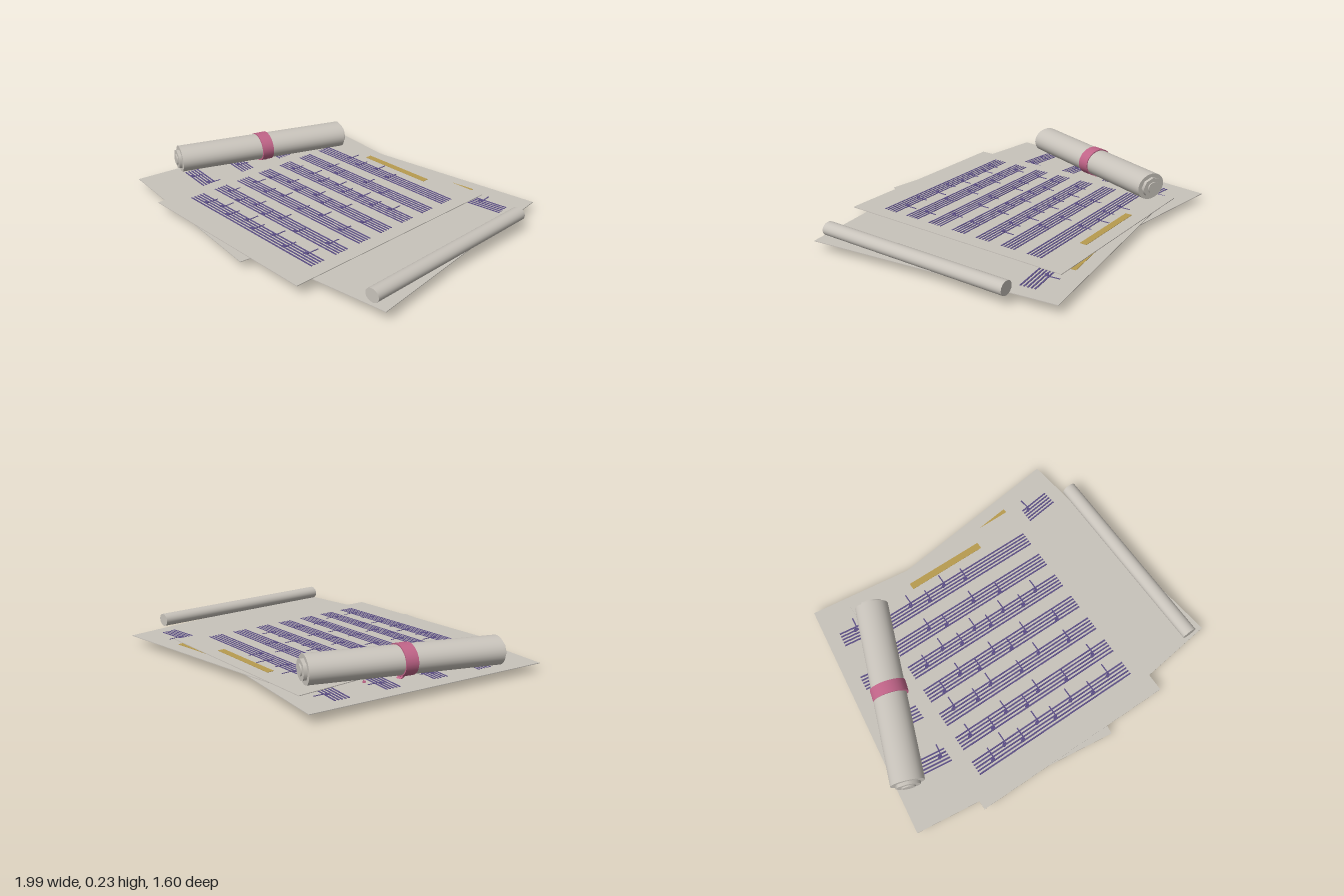
import * as THREE from 'three';
import { mergeGeometries } from 'three/addons/utils/BufferGeometryUtils.js';

const mat = (name, color) => {
  const m = new THREE.MeshStandardMaterial({ color });
  m.name = name;
  return m;
};

export function createModel() {
  const paper = mat('paper', 0xc8c3bb);
  const ink = mat('purple ink', 0x5c4f85);
  const gold = mat('gold', 0xb89b4f);
  const pink = mat('pink ribbon', 0xc06488);
  const model = new THREE.Group();
  model.name = 'sheetMusic';

  const add = (parent, name, geometry, material) => {
    const m = new THREE.Mesh(geometry, material);
    m.name = name;
    parent.add(m);
    return m;
  };
  // thin plate lying on a sheet
  const plate = (w, d, x, z) => new THREE.BoxGeometry(w, 0.002, d).translate(x, 0.003, z);

  // one loose page: paper, title bar and staves; each row is [z, note positions along x]
  function sheet(name, x, y, z, turn, rows) {
    const g = new THREE.Group();
    g.name = name;
    g.position.set(x, y, z);
    g.rotation.y = turn;
    model.add(g);
    add(g, 'page', new THREE.BoxGeometry(1.194, 0.004, 1.42), paper);
    add(g, 'titleBar', plate(0.48, 0.04, 0.01, -0.615), gold);
    const marks = [];
    rows.forEach(([rz, notes], r) => {
      for (let i = -2; i <= 2; i++) marks.push(plate(1.03, 0.009, 0, rz + i * 0.0195));
      notes.forEach((nx, i) => {
        const nz = rz - 0.03 + ((i * 2 + r) % 4) * 0.018;
        marks.push(plate(0.007, 0.075, nx, nz - 0.03));
        const head = new THREE.CylinderGeometry(0.014, 0.014, 0.003, 10);
        head.scale(1, 1, 0.75).rotateY(0.4).translate(nx - 0.011, 0.0035, nz + 0.008);
        marks.push(head);
      });
    });
    add(g, 'staves', mergeGeometries(marks), ink);
  }

  const notes = [
    [-0.29, -0.18, -0.06, 0.07],
    [-0.28, -0.18, 0.03, 0.19],
    [-0.41, -0.28, -0.17, -0.06, 0.03, 0.14, 0.26, 0.37],
    [-0.41, -0.28, -0.17, -0.05, 0.05, 0.17, 0.37],
    [-0.42, -0.28, -0.17, 0.02, 0.16, 0.35],
    [-0.43, -0.3, -0.19, -0.07, 0.03, 0.2, 0.41],
    [-0.4, -0.3, -0.2, -0.08, 0.02, 0.15, 0.28, 0.41],
  ];
  sheet('bottomSheet', -0.305, 0.05, 0.015, -0.14,
    [-0.48, -0.185, 0.11, 0.4].map((z, i) => [z, notes[i + 2]]));
  sheet('middleSheet', 0.326, 0.056, -0.03, 0.112, [[-0.51, notes[3]]]);
  sheet('topSheet', -0.02, 0.063, 0.04, -0.017, notes.map((n, i) => [-0.49 + i * 0.165, n]));

  // slightly flattened roll lying along z
  const roll = (rx, ry, length, sides) =>
    new THREE.CylinderGeometry(1, 1, length, sides).rotateX(Math.PI / 2).scale(rx, ry, 1);

  // small curled roll beside the pages
  add(model, 'curledRoll', roll(0.043, 0.037, 1.16, 28), paper).position.set(0.902, 0.097, 0.02);

  // tied scroll with stepped ends
  const scroll = new THREE.Group();
  scroll.name = 'tiedScroll';
  scroll.position.set(-0.7, 0.147, -0.087);
  scroll.rotation.y = -0.376;
  model.add(scroll);
  add(scroll, 'outerRoll', roll(0.095, 0.077, 1.048, 32), paper);
  add(scroll, 'middleRoll', roll(0.07, 0.057, 1.085, 8), paper);
  add(scroll, 'innerRoll', roll(0.04, 0.033, 1.1, 8), paper);

  // ribbon band, set a little askew
  const band = add(model, 'ribbonBand', roll(0.102, 0.084, 0.07, 32), pink);
  band.position.set(-0.697, 0.147, -0.088);
  band.rotation.y = -0.28;

  // two ribbon tails meeting at the lowest point
  const low = new THREE.Vector3(-0.715, 0.007, -0.2);
  for (const end of [[-0.695, 0.066, -0.085], [-0.625, 0.052, -0.295]]) {
    const tip = new THREE.Vector3(...end);
    const tail = add(model, 'ribbonTail', new THREE.BoxGeometry(0.03, 0.01, low.distanceTo(tip)), pink);
    tail.position.copy(low).lerp(tip, 0.5);
    tail.lookAt(tip);
  }
  return model;
}
